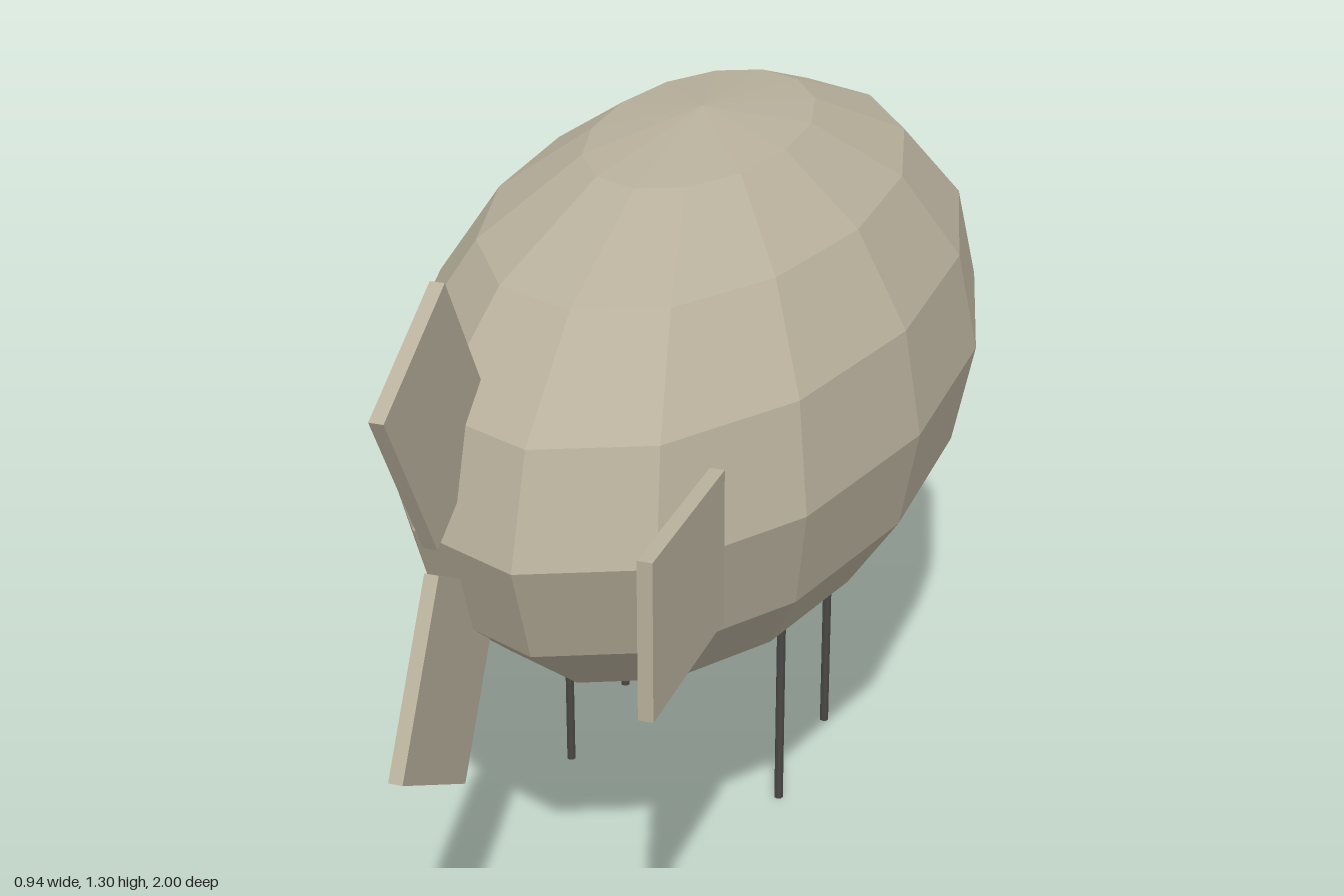
import * as THREE from 'three';

export function createModel() {
  const model = new THREE.Group();
  const stone = new THREE.MeshStandardMaterial({ color: 0xb8b09c, flatShading: true });
  stone.name = 'warm grey';
  const dark = new THREE.MeshStandardMaterial({ color: 0x4a4845, flatShading: true });
  dark.name = 'dark grey';

  const add = (name, geometry, material, x, y, z) => {
    const mesh = new THREE.Mesh(geometry, material);
    mesh.name = name;
    mesh.position.set(x, y, z);
    model.add(mesh);
    return mesh;
  };

  // Faceted hull: a coarse sphere stretched along z, with vertices at nose and tail
  const radius = 0.483, centreY = 0.82;
  const hull = new THREE.SphereGeometry(radius, 14, 8);
  hull.rotateY(Math.PI / 2);
  hull.scale(1, 1, 0.917 / radius);
  add('hull', hull, stone, 0, centreY, -0.083);

  // Three fins spaced evenly around the end of the hull
  const finGeometry = new THREE.BoxGeometry(0.025, 0.272, 0.335);
  for (let i = 0; i < 3; i++) {
    const angle = (i * Math.PI * 2) / 3;
    const fin = add('fin', finGeometry, stone,
      Math.cos(angle) * 0.272, centreY + Math.sin(angle) * 0.272, 0.801);
    fin.rotation.x = angle;
  }

  // Four thin legs
  const legGeometry = new THREE.CylinderGeometry(0.0085, 0.0085, 0.41, 8);
  for (const x of [-0.212, 0.212]) {
    for (const z of [0.075, -0.228]) add('leg', legGeometry, dark, x, 0.205, z);
  }
  return model;
}
